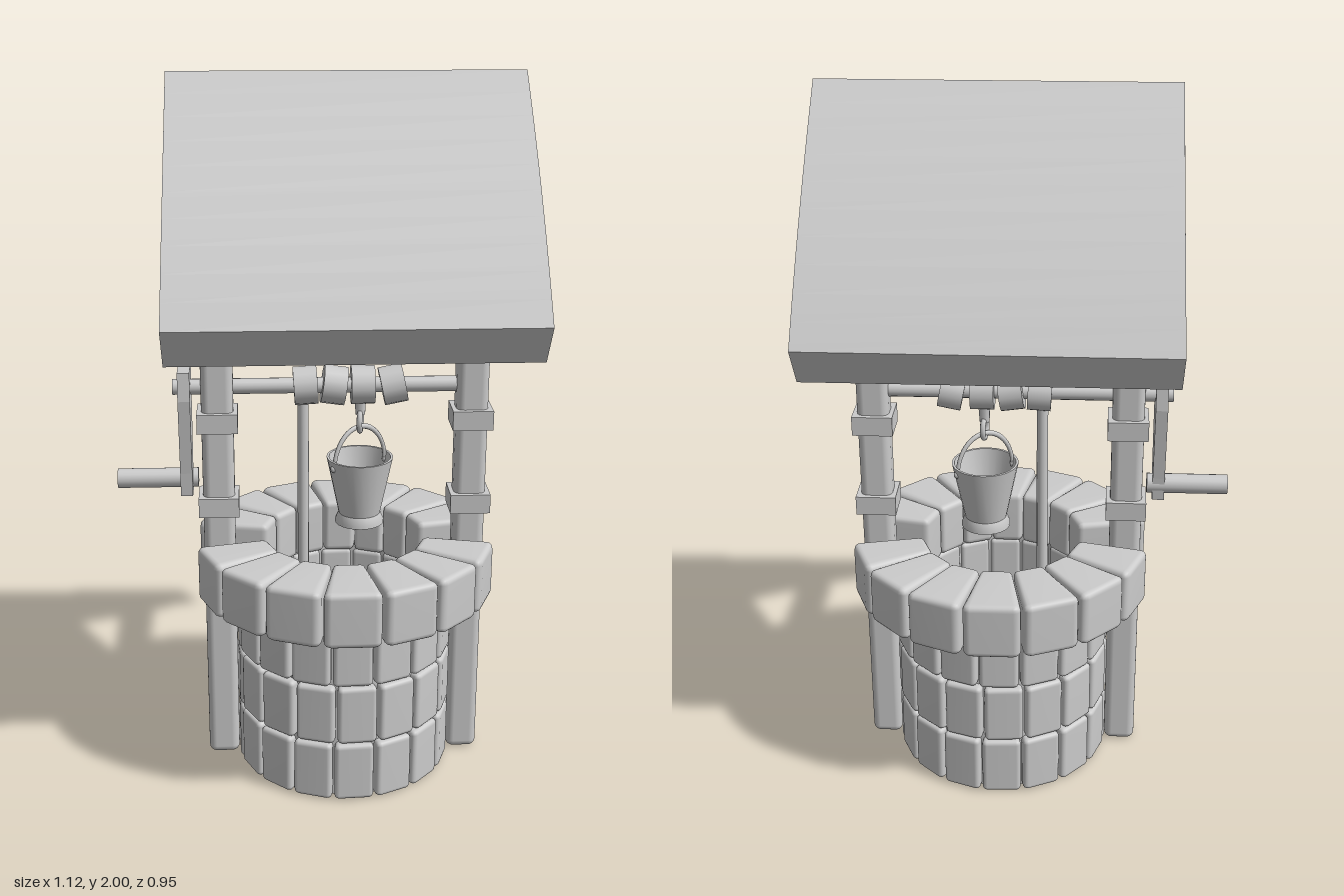
import * as THREE from 'three';
import { mergeVertices, mergeGeometries, toCreasedNormals } from 'three/addons/utils/BufferGeometryUtils.js';
import { RoundedBoxGeometry } from 'three/addons/geometries/RoundedBoxGeometry.js';

const CX = 0.08; // axis of the well shaft
const POSTS = [-0.277, 0.437];
const mat = new THREE.MeshStandardMaterial({ color: 0xcccccc });
const matThin = new THREE.MeshStandardMaterial({ color: 0xcccccc, side: THREE.DoubleSide });

function add(parent, name, geo, x = 0, y = 0, z = 0, material = mat) {
  const mesh = new THREE.Mesh(geo, material);
  mesh.name = name;
  mesh.position.set(x, y, z);
  parent.add(mesh);
  return mesh;
}

// Rounded block bent round the shaft; angles run from +z towards +x
function stone(a0, a1, rIn, rOut, h, y, round) {
  const mid = (a0 + a1) / 2, span = a1 - a0, r = (rIn + rOut) / 2;
  let g = new RoundedBoxGeometry(span * r, h, rOut - rIn, 2, round);
  g.deleteAttribute('normal');
  g.deleteAttribute('uv');
  const p = g.attributes.position;
  for (let i = 0; i < p.count; i++) {
    const a = mid + p.getX(i) / r, rad = r + p.getZ(i);
    p.setXYZ(i, Math.sin(a) * rad, p.getY(i) + y, Math.cos(a) * rad);
  }
  g = mergeVertices(g, 1e-5);
  g.computeVertexNormals();
  return g;
}

function buildWall(well) {
  // Three courses of stones
  const step = Math.PI / 8;
  for (let row = 0; row < 3; row++) {
    const stones = [];
    const start = THREE.MathUtils.degToRad(14 + [0, 1.5, -1][row]);
    for (let i = 0; i < 16; i++) {
      const a = start + i * step;
      stones.push(stone(a + 0.01, a + step - 0.01, 0.24, 0.313, 0.176, 0.09 + row * 0.18, 0.014));
    }
    add(well, 'wallCourse', mergeGeometries(stones), CX);
  }
  // Mortar core with a closed floor
  const profile = [[0, 0.005], [0.285, 0.005], [0.285, 0.56], [0.25, 0.56], [0.25, 0.04], [0, 0.04]];
  const core = new THREE.LatheGeometry(profile.map(p => new THREE.Vector2(...p)), 32);
  add(well, 'mortarCore', toCreasedNormals(core, 0.6), CX);
  // Coping stones, left open where the posts pass
  const cap = [], edge = THREE.MathUtils.degToRad(79), capStep = (2 * edge) / 7;
  for (const side of [0, Math.PI]) {
    for (let i = 0; i < 7; i++) {
      const a = side - edge + i * capStep;
      cap.push(stone(a + 0.006, a + capStep - 0.006, 0.225, 0.43, 0.162, 0.621, 0.018));
    }
  }
  add(well, 'copingStones', mergeGeometries(cap), CX);
}

function buildFrame(well) {
  for (const x of POSTS) {
    add(well, 'post', new RoundedBoxGeometry(0.09, 1.46, 0.08, 3, 0.022), x, 0.73);
    for (const y of [0.8, 1.05]) add(well, 'postBand', new THREE.BoxGeometry(0.114, 0.056, 0.108), x, y);
    add(well, 'crossBeam', new RoundedBoxGeometry(0.085, 0.08, 0.6, 3, 0.025), x, 1.47);
    // Rafters, mirrored front and back
    for (const s of [-1, 1]) {
      const rafter = add(well, 'rafter', new THREE.BoxGeometry(0.07, 0.05, 0.63), x, 1.617, s * 0.205);
      rafter.rotation.x = s * Math.atan2(0.515, 0.37);
    }
  }
  for (const s of [-1, 1]) {
    add(well, 'purlin', new THREE.BoxGeometry(0.7, 0.04, 0.04), CX, 1.47, s * 0.26);
  }
}

function buildRoof(well) {
  // Gently bowed gable section, extruded along x
  const shape = new THREE.Shape();
  shape.moveTo(0, 2);
  shape.quadraticCurveTo(-0.275, 1.745, -0.473, 1.43);
  shape.lineTo(-0.412, 1.325);
  shape.quadraticCurveTo(-0.225, 1.63, 0, 1.9);
  shape.quadraticCurveTo(0.225, 1.63, 0.412, 1.335);
  shape.lineTo(0.473, 1.44);
  shape.quadraticCurveTo(0.275, 1.745, 0, 2);
  const g = new THREE.ExtrudeGeometry(shape, { depth: 0.944, bevelEnabled: false, curveSegments: 10 });
  g.translate(0, 0, -0.472);
  g.rotateY(Math.PI / 2);
  // Ends flare slightly towards the eaves
  const p = g.attributes.position;
  for (let i = 0; i < p.count; i++) {
    p.setX(i, p.getX(i) * (1 + 0.016 * (p.getZ(i) / 0.473) ** 2));
  }
  add(well, 'roof', toCreasedNormals(g, 0.5), CX);
}

function buildWinch(well) {
  const axle = add(well, 'axle', new THREE.CylinderGeometry(0.022, 0.022, 0.8, 16), 0, 1.145);
  axle.rotation.z = Math.PI / 2;
  // Rope turns, each leaning a little differently
  const turns = [[-0.03, 0.06], [0.05, -0.14], [0.13, 0], [0.215, 0.2]];
  for (const [x, lean] of turns) {
    const turn = add(well, 'ropeTurn', new THREE.CylinderGeometry(0.054, 0.054, 0.066, 14), x, 1.145);
    turn.rotation.z = Math.PI / 2 + lean;
  }
  add(well, 'rope', new THREE.CylinderGeometry(0.016, 0.016, 1.06, 12), -0.037, 0.57, 0);
  // Tapered crank arm with handle
  const arm = new THREE.Shape([[-0.03, 0.83], [0.03, 0.83], [0.036, 0.9], [0.062, 1.12],
    [0.055, 1.2], [-0.055, 1.2], [-0.062, 1.12], [-0.036, 0.9]].map(q => new THREE.Vector2(...q)));
  const armGeo = new THREE.ExtrudeGeometry(arm, { depth: 0.034, bevelEnabled: false });
  armGeo.rotateY(Math.PI / 2);
  add(well, 'crankArm', armGeo, -0.384);
  const handle = add(well, 'crankHandle', new THREE.CylinderGeometry(0.028, 0.028, 0.228, 18), -0.448, 0.873, -0.008);
  handle.rotation.z = Math.PI / 2;
}

function buildBucket(well) {
  const bucket = new THREE.Group();
  bucket.name = 'bucket';
  bucket.position.set(0.125, 0, -0.01);
  bucket.rotation.y = 0.5;
  well.add(bucket);
  // Pail: foot flare, tapered wall, open top
  const profile = [[0, 0.745], [0.06, 0.745], [0.07, 0.73], [0.07, 0.737], [0.06, 0.76], [0.095, 0.928], [0.088, 0.928], [0.055, 0.765], [0, 0.765]];
  const pail = new THREE.LatheGeometry(profile.map(q => new THREE.Vector2(...q)), 24);
  add(bucket, 'pail', toCreasedNormals(pail, 0.6), 0, 0, 0, matThin);
  const bail = add(bucket, 'bail', new THREE.TorusGeometry(0.085, 0.006, 8, 24, Math.PI), 0, 0.905);
  bail.scale.y = 1.33;
  for (const s of [-1, 1]) add(bucket, 'bailPin', new THREE.SphereGeometry(0.01, 10, 8), s * 0.087, 0.905);
  // Rope loop holding the bail
  const loop = add(bucket, 'ropeLoop', new THREE.TorusGeometry(0.024, 0.008, 8, 18), 0, 1.035);
  loop.scale.y = 1.2;
  loop.rotation.y = 0.9;
  add(bucket, 'ropeEnd', new THREE.CylinderGeometry(0.018, 0.014, 0.07, 10), 0, 1.09);
}

export function createModel() {
  const well = new THREE.Group();
  well.name = 'well';
  buildWall(well);
  buildFrame(well);
  buildRoof(well);
  buildWinch(well);
  buildBucket(well);
  return well;
}
